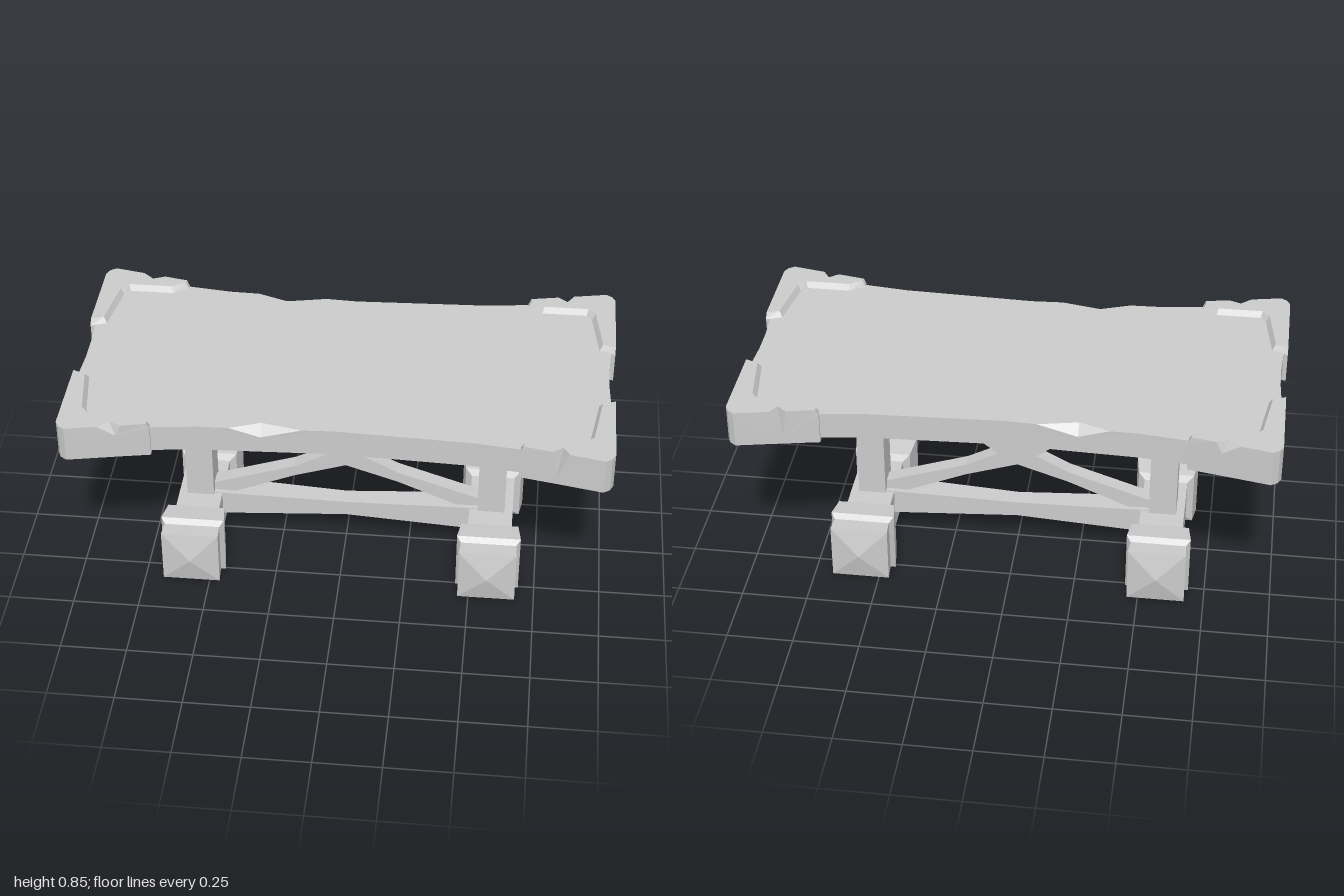
import * as THREE from 'three';

const material = new THREE.MeshStandardMaterial({ color: 0xcccccc, flatShading: true });

// Closed flat-shaded solid through rings of [x, y, z] that all have the same point count
function loft(rings) {
  const plan = (r) => r.map((p) => new THREE.Vector2(p[0], p[2]));
  const widest = rings[Math.floor(rings.length / 2)];
  if (THREE.ShapeUtils.area(plan(widest)) < 0) rings = rings.map((r) => [...r].reverse());
  const out = [];
  const tri = (a, b, c) => out.push(...a, ...b, ...c);
  for (let k = 0; k < rings.length - 1; k++) {
    const lo = rings[k], hi = rings[k + 1];
    lo.forEach((a, i) => {
      const j = (i + 1) % lo.length;
      tri(a, hi[i], lo[j]);
      tri(lo[j], hi[i], hi[j]);
    });
  }
  // Flat lids, turned to face down at the first ring and up at the last
  const lid = (ring, up) => {
    const flat = plan(ring);
    if (Math.abs(THREE.ShapeUtils.area(flat)) < 1e-6) return;
    for (const [a, b, c] of THREE.ShapeUtils.triangulateShape([...flat], [])) {
      const facesDown = THREE.ShapeUtils.area([flat[a], flat[b], flat[c]]) > 0;
      if (facesDown === up) tri(ring[a], ring[c], ring[b]);
      else tri(ring[a], ring[b], ring[c]);
    }
  };
  lid(rings[0], false);
  lid(rings[rings.length - 1], true);
  const geometry = new THREE.BufferGeometry();
  geometry.setAttribute('position', new THREE.Float32BufferAttribute(out, 3));
  geometry.computeVertexNormals();
  return geometry;
}

// Slab whose edge points are { x, z, tx, tz, mid }: the top may be inset (bevel) or dented
function slab(points, y0, yMid, y1) {
  return loft([
    points.map((p) => [p.x, y0, p.z]),
    points.map((p) => [p.x, p.mid ?? yMid, p.z]),
    points.map((p) => [p.tx ?? p.x, y1, p.tz ?? p.z]),
  ]);
}

// V-shaped chip: three top points that run down to one tip on the edge
function chip(edgeZ, x0, xIn, x1, depth, tipX, tipY) {
  const tip = { x: tipX, z: edgeZ(tipX), mid: tipY };
  return [
    { ...tip, tx: x0, tz: edgeZ(x0) },
    { ...tip, tx: xIn, tz: edgeZ(xIn) - depth },
    { ...tip, tx: x1, tz: edgeZ(x1) },
  ];
}

const mirror = (p, sx, sz) => ({
  ...p, x: p.x * sx, z: p.z * sz,
  tx: (p.tx ?? p.x) * sx, tz: (p.tz ?? p.z) * sz,
});

function tableTop() {
  const edge = (x) => 0.419 + 0.02 * Math.min(1, Math.abs(x) / 0.5);
  const right = [[0, 0.418], [0.25, 0.428], [0.5, 0.438], [0.68, 0.46], [0.76, 0.44],
    [0.95, 0.44], [0.965, 0.3], [0.985, 0.17], [0.978, 0.05]].map(([x, z]) => ({ x, z }));
  const left = right.slice(2).reverse().map((p) => mirror(p, -1, 1));
  // Front edge from left to right, then the same edge mirrored to the back
  const front = [...left, ...chip(edge, -0.385, -0.27, -0.12, 0.037, -0.27, 0.795), ...right];
  const back = [...front].reverse().map((p) => mirror(p, 1, -1));
  return slab([...front, ...back], 0.73, 0.8, 0.833);
}

// L-shaped corner guard with a bevelled inner rim and a chipped outer edge
function cornerGuard(sx, sz) {
  const edge = (x) => 0.467 + (x - 0.668) * 0.196;
  const dent = sx > 0
    ? chip(edge, 0.78, 0.815, 0.84, 0.035, 0.797, 0.742)
    : chip(edge, 0.765, 0.81, 0.85, 0.028, 0.785, 0.81);
  const points = [
    { x: 0.665, z: 0.467, tx: 0.675, tz: 0.468 },
    ...dent,
    { x: 0.965, z: 0.526 }, { x: 0.988, z: 0.51 }, { x: 1, z: 0.485 },
    { x: 1, z: 0.155, tx: 1, tz: 0.168 },
    { x: 0.94, z: 0.175, tx: 0.953, tz: 0.187 },
    { x: 0.91, z: 0.38, tx: 0.924, tz: 0.39 },
    { x: 0.89, z: 0.405, tx: 0.896, tz: 0.42 },
    { x: 0.72, z: 0.405, tx: 0.727, tz: 0.42 },
    { x: 0.665, z: 0.442, tx: 0.678, tz: 0.45 },
  ];
  return slab(points.map((p) => mirror(p, sx, sz)), 0.715, 0.832, 0.855);
}

// Square beam with stepped, pointed ends, given as [distance along beam, half width]
function footBeam() {
  const end = [[0.155, 0.084], [0.17, 0.109], [0.26, 0.121], [0.28, 0.105], [0.345, 0.109], [0.371, 0]];
  const profile = [...[...end].reverse().map(([d, h]) => [-d, h]), ...end];
  return loft(profile.map(([d, h]) => [[h, d, h], [-h, d, h], [-h, d, -h], [h, d, -h]])).rotateX(Math.PI / 2);
}

// Low rail that narrows towards its middle
function stretcher() {
  const sections = [[-0.52, 0.052, 0.05], [0, 0.031, 0.035], [0.52, 0.052, 0.05]];
  return loft(sections.map(([d, h, w]) => [[h, d, w], [-h, d, w], [-h, d, -w], [h, d, -w]])).rotateZ(-Math.PI / 2);
}

// Bent X-shaped brace in one piece
function crossBrace() {
  const half = [[0, 0.46], [0.2, 0.555], [0.45, 0.732], [0.52, 0.732], [0.52, 0.68], [0.2, 0.51],
    [0.075, 0.415], [0.2, 0.35], [0.52, 0.245], [0.52, 0.19], [0.43, 0.21], [0.2, 0.305], [0, 0.37]];
  const other = half.slice(1, -1).reverse().map(([x, y]) => [-x, y]);
  const shape = new THREE.Shape([...half, ...other].map(([x, y]) => new THREE.Vector2(x, y)));
  return new THREE.ExtrudeGeometry(shape, { depth: 0.06, bevelEnabled: false }).translate(0, 0, -0.03);
}

export function createModel() {
  const table = new THREE.Group();
  table.name = 'table';
  const add = (name, geometry, x = 0, y = 0, z = 0) => {
    const mesh = new THREE.Mesh(geometry, material);
    mesh.name = name;
    mesh.position.set(x, y, z);
    table.add(mesh);
  };

  add('tableTop', tableTop());
  for (const sx of [1, -1]) {
    const side = sx > 0 ? 'Left' : 'Right';
    for (const sz of [1, -1]) add(`cornerGuard${sz > 0 ? 'Front' : 'Back'}${side}`, cornerGuard(sx, sz));
    add(`post${side}`, new THREE.BoxGeometry(0.105, 0.54, 0.12), sx * 0.568, 0.465, -0.004);
    add(`footBeam${side}`, footBeam(), sx * 0.568, 0.124, -0.004);
  }
  add('stretcher', stretcher(), 0, 0.16, -0.004);
  add('crossBrace', crossBrace(), 0, 0, -0.004);
  return table;
}
